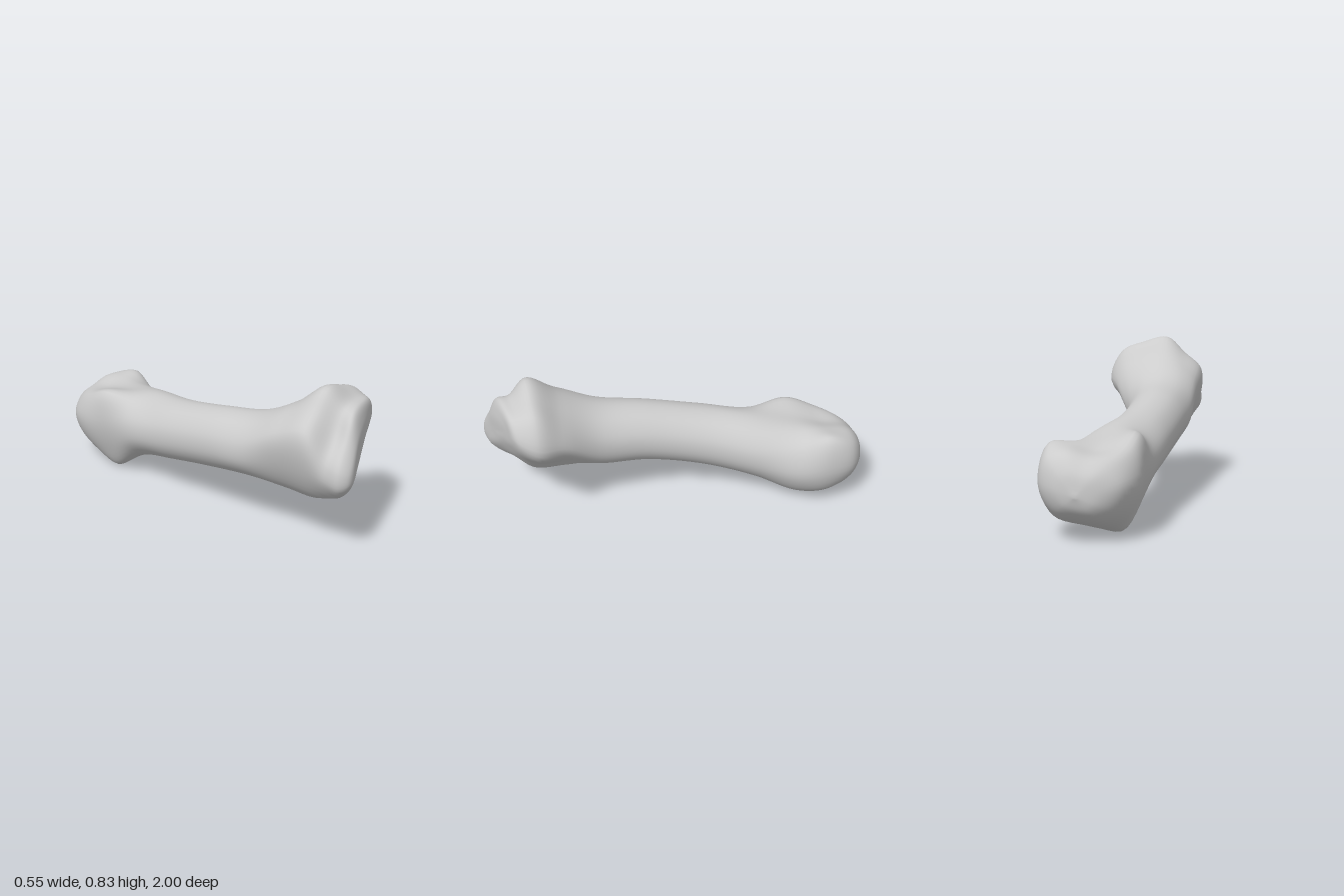
import * as THREE from 'three';

const AROUND = 50, ALONG = 90, POINTS = 10;

// Ring of control points, clockwise from the top as seen from the front.
// "tilt" slants the ring: z changes with x.
function ring(z, tilt, xy) {
  const pts = [];
  for (let i = 0; i < xy.length; i += 2) {
    pts.push(new THREE.Vector3(xy[i], xy[i + 1], z + tilt * xy[i]));
  }
  return pts;
}

// Oval ring from its extents
function oval(z, x0, x1, y0, y1) {
  const xy = [];
  for (let i = 0; i < POINTS; i++) {
    const a = (i / POINTS) * Math.PI * 2;
    xy.push((x0 + x1) / 2 + (x1 - x0) / 2 * Math.sin(a) * 1.03,
      (y0 + y1) / 2 + (y1 - y0) / 2 * Math.cos(a));
  }
  return ring(z, 0, xy);
}

// Smooth closed skin through the rings, ending in a point at both ends
function loft(rings, backPole, frontPole) {
  const fine = rings.map(r => {
    const c = new THREE.CatmullRomCurve3(r, true, 'centripetal');
    return Array.from({ length: AROUND }, (_, i) => c.getPoint(i / AROUND));
  });
  const columns = Array.from({ length: AROUND }, (_, i) =>
    new THREE.CatmullRomCurve3([backPole, ...fine.map(r => r[i]), frontPole], false, 'centripetal'));

  const pos = [], index = [];
  for (let s = 1; s < ALONG; s++) {
    for (const c of columns) pos.push(...c.getPoint(s / ALONG).toArray());
  }
  const rows = ALONG - 1, back = rows * AROUND, front = back + 1;
  pos.push(...backPole.toArray(), ...frontPole.toArray());

  for (let i = 0; i < AROUND; i++) {
    const j = (i + 1) % AROUND;
    for (let s = 0; s < rows - 1; s++) {
      const a = s * AROUND + i, b = s * AROUND + j;
      index.push(a, a + AROUND, b, b, a + AROUND, b + AROUND);
    }
    const last = (rows - 1) * AROUND;
    index.push(back, i, j, front, last + j, last + i);
  }
  const g = new THREE.BufferGeometry();
  g.setAttribute('position', new THREE.Float32BufferAttribute(pos, 3));
  g.setIndex(index);
  g.computeVertexNormals();
  return g;
}

export function createModel() {
  // Rear head: boxy, dished on top, with a knob at its upper -x corner
  const rearHead = [
    ring(-0.975, 0, [0.03, 0.33, 0.09, 0.34, 0.14, 0.32, 0.16, 0.25, 0.12, 0.18,
      0.05, 0.16, -0.01, 0.16, -0.05, 0.19, -0.06, 0.25, -0.03, 0.31]),
    ring(-0.91, 0, [0.02, 0.39, 0.12, 0.415, 0.21, 0.385, 0.24, 0.25, 0.17, 0.13,
      0.05, 0.1, -0.05, 0.1, -0.12, 0.16, -0.15, 0.27, -0.09, 0.36]),
    ring(-0.78, 0, [0, 0.41, 0.12, 0.44, 0.225, 0.44, 0.268, 0.25, 0.2, 0.09,
      0.05, 0.05, -0.08, 0.04, -0.16, 0.12, -0.205, 0.28, -0.15, 0.41]),
    ring(-0.63, 0, [-0.03, 0.445, 0.1, 0.435, 0.2, 0.37, 0.24, 0.22, 0.16, 0.075,
      0.02, 0.035, -0.1, 0, -0.17, 0.12, -0.21, 0.31, -0.17, 0.465]),
  ];

  // Slender, gently bowed shaft
  const shaft = [
    oval(-0.42, -0.215, 0.16, 0.11, 0.48),
    oval(-0.15, -0.237, 0.08, 0.18, 0.513),
    oval(0.15, -0.256, 0.055, 0.235, 0.565),
    oval(0.4, -0.265, 0.09, 0.26, 0.61),
  ];

  // Front head: flared collar, a groove, then a slanting lobe
  const frontHead = [
    ring(0.6, 0, [-0.08, 0.71, 0.05, 0.69, 0.16, 0.63, 0.2, 0.53, 0.07, 0.37,
      -0.07, 0.25, -0.16, 0.28, -0.245, 0.42, -0.265, 0.58, -0.18, 0.67]),
    ring(0.75, -0.1, [-0.07, 0.82, 0.07, 0.79, 0.2, 0.73, 0.26, 0.56, 0.1, 0.4,
      -0.07, 0.255, -0.16, 0.28, -0.25, 0.43, -0.27, 0.63, -0.17, 0.73]),
    ring(0.845, -0.15, [-0.06, 0.735, 0.06, 0.75, 0.18, 0.72, 0.235, 0.6, 0.1, 0.46,
      -0.08, 0.33, -0.15, 0.3, -0.24, 0.41, -0.235, 0.52, -0.14, 0.63]),
    ring(0.9, -0.25, [-0.07, 0.715, 0.05, 0.735, 0.16, 0.71, 0.2, 0.63, 0.06, 0.5,
      -0.09, 0.38, -0.16, 0.34, -0.235, 0.4, -0.235, 0.5, -0.15, 0.61]),
    ring(0.927, -0.36, [-0.05, 0.64, 0.04, 0.67, 0.11, 0.66, 0.12, 0.62, 0.03, 0.53,
      -0.09, 0.43, -0.14, 0.4, -0.19, 0.42, -0.19, 0.48, -0.12, 0.57]),
  ];

  const bone = new THREE.Mesh(
    loft([...rearHead, ...shaft, ...frontHead],
      new THREE.Vector3(0.05, 0.23, -1), new THREE.Vector3(-0.05, 0.54, 0.95)),
    new THREE.MeshStandardMaterial({ color: 0xcccccc }));
  bone.name = 'bone';

  const group = new THREE.Group();
  group.name = 'longBone';
  group.add(bone);
  return group;
}
